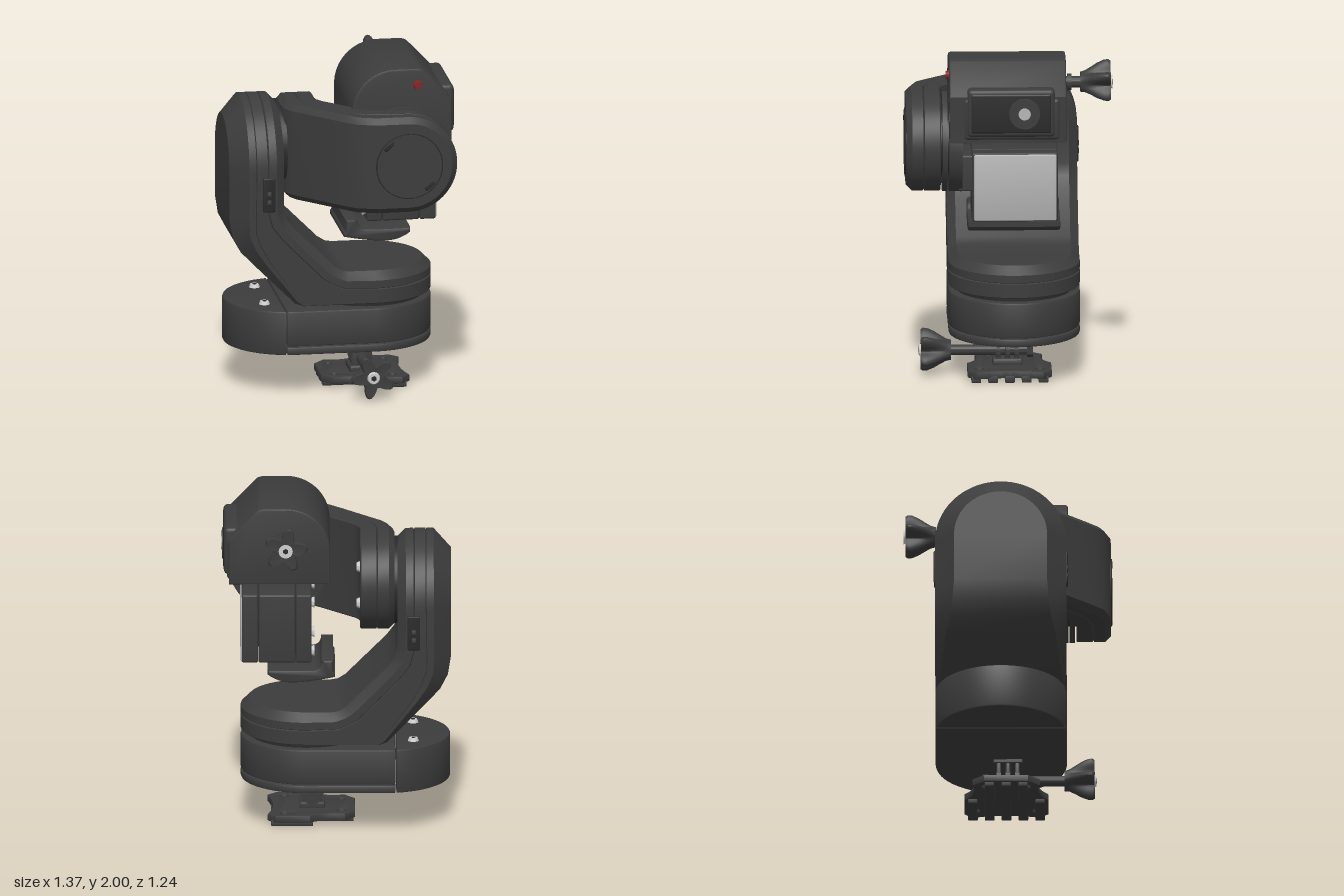
import * as THREE from 'three';
import { toCreasedNormals } from 'three/addons/utils/BufferGeometryUtils.js';
import { RoundedBoxGeometry } from 'three/addons/geometries/RoundedBoxGeometry.js';

const mat = (color) => new THREE.MeshStandardMaterial({ color });
const DARK = mat(0x3c3c3c), BLACK = mat(0x2a2a2a), LIGHT = mat(0xb4b4b4), SILVER = mat(0xcccccc), RED = mat(0x8a2226);
const ZC = -0.04;   // depth of the yaw axis
const ROLL = { x: 0.345, y: 1.4725 };

export function createModel() {
  const model = new THREE.Group();

  const add = (name, geo, x = 0, y = 0, z = 0, material = DARK) => {
    const mesh = new THREE.Mesh(toCreasedNormals(geo, 0.5), material);
    mesh.name = name;
    mesh.position.set(x, y, z);
    model.add(mesh);
    return mesh;
  };
  const box = (name, x0, x1, y0, y1, z0, z1, r = 0.012, material = DARK) =>
    add(name, new RoundedBoxGeometry(x1 - x0, y1 - y0, z1 - z0, 3, r), (x0 + x1) / 2, (y0 + y1) / 2, (z0 + z1) / 2, material);
  const cyl = (name, axis, r0, r1, length, x, y, z, material = DARK, sides = 48) => {
    const g = new THREE.CylinderGeometry(r1, r0, length, sides);
    if (axis === 'x') g.rotateZ(-Math.PI / 2);
    if (axis === 'z') g.rotateX(Math.PI / 2);
    return add(name, g, x, y, z, material);
  };
  // Extrusion between two depths, with a bevel that keeps the outline size
  const extrude = (shape, from, to, bevel = 0.012) => {
    const g = new THREE.ExtrudeGeometry(shape, {
      depth: to - from - 2 * bevel, bevelThickness: bevel, bevelSize: bevel, bevelOffset: -bevel,
      bevelSegments: 2, curveSegments: 32,
    });
    return g.translate(0, 0, from + bevel);
  };
  const lay = (g) => g.rotateX(-Math.PI / 2);

  // Screw head with a cross recess
  const screw = (axis, x, y, z, r = 0.034) => {
    cyl('screw', axis, r, r * 0.75, 0.022, x, y, z, SILVER, 24);
    cyl('screwRecess', axis, r * 0.4, r * 0.4, 0.026, x, y, z, BLACK, 6);
  };

  // Base: battery end and body with a bottom cover
  const R = 0.39, xl = -0.285, xr = 0.18, cut = 1.746;
  const battery = new THREE.Shape();
  battery.absarc(xl, 0, R, cut, 2 * Math.PI - cut);
  const body = new THREE.Shape();
  body.absarc(xr, 0, R, -Math.PI / 2, Math.PI / 2);
  body.absarc(xl, 0, R, Math.PI / 2, cut - 0.015);
  body.absarc(xl, 0, R, 2 * Math.PI - cut + 0.015, 1.5 * Math.PI);
  add('batteryEnd', lay(extrude(battery, 0.26, 0.53)), 0, 0, ZC);
  add('baseBody', lay(extrude(body, 0.313, 0.53)), 0, 0, ZC);
  add('baseCover', lay(extrude(body, 0.26, 0.309)), 0, 0, ZC);
  cyl('yawHub', 'y', 0.34, 0.34, 0.06, xr, 0.545, ZC, BLACK);
  for (const z of [0.15, -0.23]) screw('y', -0.455, 0.538, z);

  // Yaw arm: bent upwards, its outer face bevelled towards the top
  add('yawArm', bentSlab(
    [[-0.36, 1.385], [-0.36, 1.16], [-0.345, 1.09], [-0.3, 1.03], [-0.25, 0.98], [-0.055, 0.785], [-0.01, 0.757], [0.03, 0.75], [0.18, 0.75]],
    [[-0.68, 1.385], [-0.68, 1.09], [-0.66, 0.97], [-0.615, 0.885], [-0.53, 0.80], [-0.3, 0.575], [-0.25, 0.56], [-0.05, 0.56], [0.18, 0.56]],
    [1, 1, 0.9, 0.8, 0.55, 0.15, 0, 0, 0], R,
    (t, f) => [[0, 0.05], [0.05, 0], [0.095, 0], [0.1, 0.01], [0.105, 0], [t - 0.14 * f - 0.012, 0],
      [t - 0.14 * f - 0.009, 0.008 * f], [t - 0.14 * f - 0.006, 0], [t - 0.1 * f - 0.004, 0], [t, 0.11 * f + 0.004]],
    (a, b, w) => [a, b, ZC + w]));
  for (const z of [ZC + R, ZC - R]) {
    box('sideButton', -0.495, -0.42, 1.15, 1.36, z - 0.008, z + 0.008, 0.007, BLACK);
    for (const y of [1.21, 1.26]) box('buttonMark', -0.47, -0.445, y - 0.015, y + 0.015, z - 0.011, z + 0.011, 0.004);
  }
  cyl('pitchHub', 'x', 0.26, 0.26, 0.05, -0.35, ROLL.y, ZC, BLACK);

  // Roll arm: bent forwards around the camera mount
  add('rollArm', bentSlab(
    [[-0.14, ZC], [-0.14, 0.05], [-0.13, 0.1], [-0.105, 0.14], [0.1, 0.355], [0.14, 0.39], [0.2, 0.405], [ROLL.x, 0.405]],
    [[-0.345, ZC], [-0.345, 0.08], [-0.335, 0.15], [-0.3, 0.215], [-0.05, 0.49], [0.03, 0.57], [0.145, 0.61], [ROLL.x, 0.61]],
    [1, 1, 1, 1, 1, 1, 1, 1], 0.2925,
    (t) => [[0, 0.006], [0.006, 0], [0.095, 0], [0.1, 0.01], [0.105, 0], [t - 0.035, 0], [t, 0.035]],
    (a, b, w) => [a, ROLL.y + w, b]));
  for (const y of [1.36, 1.585]) screw('x', -0.13, y, -0.15);
  cyl('motorCap', 'z', 0.2, 0.198, 0.02, ROLL.x, ROLL.y, 0.606);
  add('motorCapRim', new THREE.TorusGeometry(0.198, 0.004, 6, 64), ROLL.x, ROLL.y, 0.614, BLACK);
  for (const a of [2.35, -0.8]) {
    const tab = box('capNotch', -0.035, 0.035, -0.012, 0.012, 0.61, 0.62, 0.004, BLACK);
    tab.position.set(ROLL.x + 0.175 * Math.cos(a), ROLL.y + 0.175 * Math.sin(a), 0.615);
    tab.rotation.z = a + Math.PI / 2;
  }

  // Roll bearing and camera mount plate
  cyl('rollHub', 'z', 0.2, 0.2, 0.1, ROLL.x, ROLL.y, 0.38, BLACK);
  cyl('rollRing', 'z', 0.297, 0.297, 0.03, ROLL.x, ROLL.y, 0.38);
  cyl('mountPlate', 'z', 0.297, 0.297, 0.08, ROLL.x, ROLL.y, 0.316);

  // Camera housing: round shoulder, sloped corner
  const housing = new THREE.Shape();
  housing.moveTo(0.64, 1.53);
  housing.lineTo(0.64, 1.81);
  housing.lineTo(0.48, 1.98);
  housing.quadraticCurveTo(0.46, 2, 0.42, 2);
  housing.lineTo(0.3, 2);
  housing.absarc(0.3, 1.74, 0.26, Math.PI / 2, Math.PI);
  housing.lineTo(0.04, 1.53);
  add('cameraHousing', extrude(housing, -0.34, 0.355));
  cyl('statusLight', 'z', 0.03, 0.022, 0.03, 0.435, 1.9, 0.36, RED, 24);
  box('lensFrame', 0.56, 0.652, 1.55, 1.8, -0.3, 0.27, 0.02);
  box('lensPanel', 0.57, 0.67, 1.57, 1.86, -0.27, 0.25, 0.025);
  box('lensPanelFace', 0.64, 0.674, 1.595, 1.835, -0.25, 0.23, 0.012, BLACK);
  cyl('lensRing', 'x', 0.098, 0.092, 0.02, 0.672, 1.715, -0.09);
  cyl('lens', 'x', 0.04, 0.035, 0.016, 0.68, 1.715, -0.09, LIGHT, 32);

  // Screen block under the housing
  box('screenBlockInner', 0.15, 0.243, 1.03, 1.45, -0.29, 0.22);
  box('screenBlockMiddle', 0.245, 0.465, 1.03, 1.45, -0.29, 0.22);
  box('screenBlockOuter', 0.467, 0.565, 1.03, 1.45, -0.29, 0.22);
  box('screen', 0.55, 0.572, 1.035, 1.44, -0.283, 0.208, 0.01, LIGHT);
  box('blockBracket', 0.2, 0.5, 1.2, 1.42, 0.2, 0.3);
  for (const y of [1.09, 1.39]) for (const z of [-0.23, 0.16]) screw('x', 0.142, y, z);

  // Curved rest below the block
  const rest = new THREE.Shape();
  rest.moveTo(0.02, 1.05);
  rest.lineTo(0.02, 0.98);
  rest.lineTo(0.01, 0.965);
  rest.lineTo(0.01, 0.945);
  rest.quadraticCurveTo(0.2, 0.905, 0.29, 0.912);
  rest.quadraticCurveTo(0.36, 0.92, 0.41, 0.96);
  rest.lineTo(0.41, 0.99);
  rest.quadraticCurveTo(0.25, 0.985, 0.13, 0.99);
  rest.quadraticCurveTo(0.09, 1.0, 0.09, 1.05);
  add('rest', extrude(rest, -0.31, 0.24, 0.014));

  // Five-pointed clamp knob, flaring along its axis
  const knob = (name, x, y, z, dir, turn) => {
    const profile = [[0, 0], [0.06, 0], [0.065, 0.03], [0.076, 0.06], [0.09, 0.1], [0.1, 0.14], [0.102, 0.165], [0.095, 0.18], [0, 0.175]];
    const g = new THREE.LatheGeometry(profile.map((p) => new THREE.Vector2(...p)), 80);
    const p = g.attributes.position;
    for (let i = 0; i < p.count; i++) {
      const k = 1 + 0.32 * Math.min(1, p.getY(i) / 0.12) * Math.cos(5 * (Math.atan2(p.getX(i), p.getZ(i)) + turn));
      p.setXYZ(i, p.getX(i) * k, p.getY(i), p.getZ(i) * k);
    }
    add(name, g.rotateX(dir * Math.PI / 2), x, y, z);
    screw('z', x, y, z + dir * 0.18, 0.042);
  };
  knob('rearKnob', 0.305, 1.82, -0.43, -1, 0.2);
  cyl('rearKnobShaft', 'z', 0.035, 0.035, 0.12, 0.305, 1.82, -0.39);
  cyl('rearKnobCollar', 'z', 0.05, 0.05, 0.025, 0.305, 1.82, -0.365);
  knob('baseKnob', 0.145, 0.145, 0.335, 1, 0.2);
  cyl('clampBolt', 'z', 0.032, 0.032, 0.49, 0.145, 0.145, 0.1);
  cyl('clampNut', 'z', 0.046, 0.046, 0.035, 0.145, 0.145, -0.135, DARK, 6);

  // Mounting fingers
  for (const z of [-0.055, 0, 0.055]) {
    box('finger', 0.085, 0.205, 0.06, 0.26, z - 0.014, z + 0.014, 0.01);
    cyl('fingerEye', 'z', 0.066, 0.066, 0.027, 0.145, 0.145, z);
  }
  box('fingerPlate', 0.08, 0.21, 0.235, 0.265, -0.09, 0.09, 0.01);
  box('fingerFoot', 0.07, 0.22, 0.06, 0.105, -0.09, 0.09);

  // Foot plate with waisted sides, corner holes and ribs underneath
  const plate = new THREE.Shape();
  plate.moveTo(-0.11, -0.13);
  plate.lineTo(-0.05, -0.2);
  plate.quadraticCurveTo(0.08, -0.17, 0.16, -0.25);
  plate.lineTo(0.36, -0.25);
  plate.lineTo(0.41, -0.2);
  plate.quadraticCurveTo(0.35, 0, 0.41, 0.2);
  plate.lineTo(0.36, 0.25);
  plate.lineTo(0.16, 0.25);
  plate.quadraticCurveTo(0.08, 0.17, -0.05, 0.2);
  plate.lineTo(-0.11, 0.13);
  for (const [x, y] of [[0.31, -0.18], [0.31, 0.18], [-0.03, -0.12], [-0.03, 0.12]]) {
    const hole = new THREE.Path();
    hole.absarc(x, y, 0.026, 0, 2 * Math.PI, true);
    plate.holes.push(hole);
  }
  add('footPlate', lay(extrude(plate, 0.026, 0.07, 0.006)), 0, 0, -0.01);
  for (let i = 0; i < 5; i++) {
    const z = -0.21 + i * 0.1, edge = i === 0 || i === 4;
    box('footRib', edge ? 0.14 : -0.1, 0.39, 0, 0.04, z - 0.029, z + 0.029, 0.006);
  }
  return model;
}

// Slab with round ends that follows a bent path. inner/outer are matching 2D points,
// fade scales the layer rule per point, and layers give [depth, inset] pairs.
function bentSlab(inner, outer, fade, radius, layers, place) {
  const V = (p) => new THREE.Vector2(...p), last = inner.length - 1, ARC = 20;
  const across = inner.map((p, i) => V(outer[i]).sub(V(p)));
  const along = (i, j) => V(inner[i]).sub(V(inner[j])).normalize();
  const ends = { 0: along(0, 1), [last]: along(last, last - 1) };
  const pos = [], idx = [], count = layers(0, 0).length;
  for (let k = 0; k < count; k++) {
    const cols = [];
    for (let i = 0; i <= last; i++) {
      const t = across[i].length(), [depth, inset] = layers(t, fade[i])[k];
      const p = V(inner[i]).addScaledVector(across[i], depth / t), r = radius - inset;
      if (!ends[i]) { cols.push([p, r]); continue; }
      for (let n = 0; n <= ARC; n++) {
        const a = (i === 0 ? n : ARC - n) / ARC * Math.PI / 2;
        cols.push([p.clone().addScaledVector(ends[i], r * Math.cos(a)), r * Math.sin(a)]);
      }
    }
    cols.forEach(([p, w]) => pos.push(...place(p.x, p.y, w)));
    cols.slice(1, -1).reverse().forEach(([p, w]) => pos.push(...place(p.x, p.y, -w)));
  }
  const n = pos.length / 3 / count, half = n / 2;
  const quad = (a, b, c, d) => {
    if (a !== b && c !== b) idx.push(a, b, c);
    if (a !== d && c !== d) idx.push(a, c, d);
  };
  for (let k = 0; k < count - 1; k++)
    for (let j = 0, o = k * n; j < n; j++) quad(o + j, o + (j + 1) % n, o + n + (j + 1) % n, o + n + j);
  const m = (j) => (n - j) % n, top = (count - 1) * n;
  for (let j = 0; j < half; j++) {
    quad(j + 1, j, m(j), m(j + 1));
    quad(top + j, top + j + 1, top + m(j + 1), top + m(j));
  }
  // Turn the faces outwards whichever way the path runs
  let volume = 0;
  const at = (i) => new THREE.Vector3().fromArray(pos, i * 3);
  for (let i = 0; i < idx.length; i += 3) volume += at(idx[i]).dot(at(idx[i + 1]).cross(at(idx[i + 2])));
  if (volume < 0) idx.reverse();
  const g = new THREE.BufferGeometry();
  g.setAttribute('position', new THREE.Float32BufferAttribute(pos, 3));
  g.setIndex(idx);
  return g;
}
